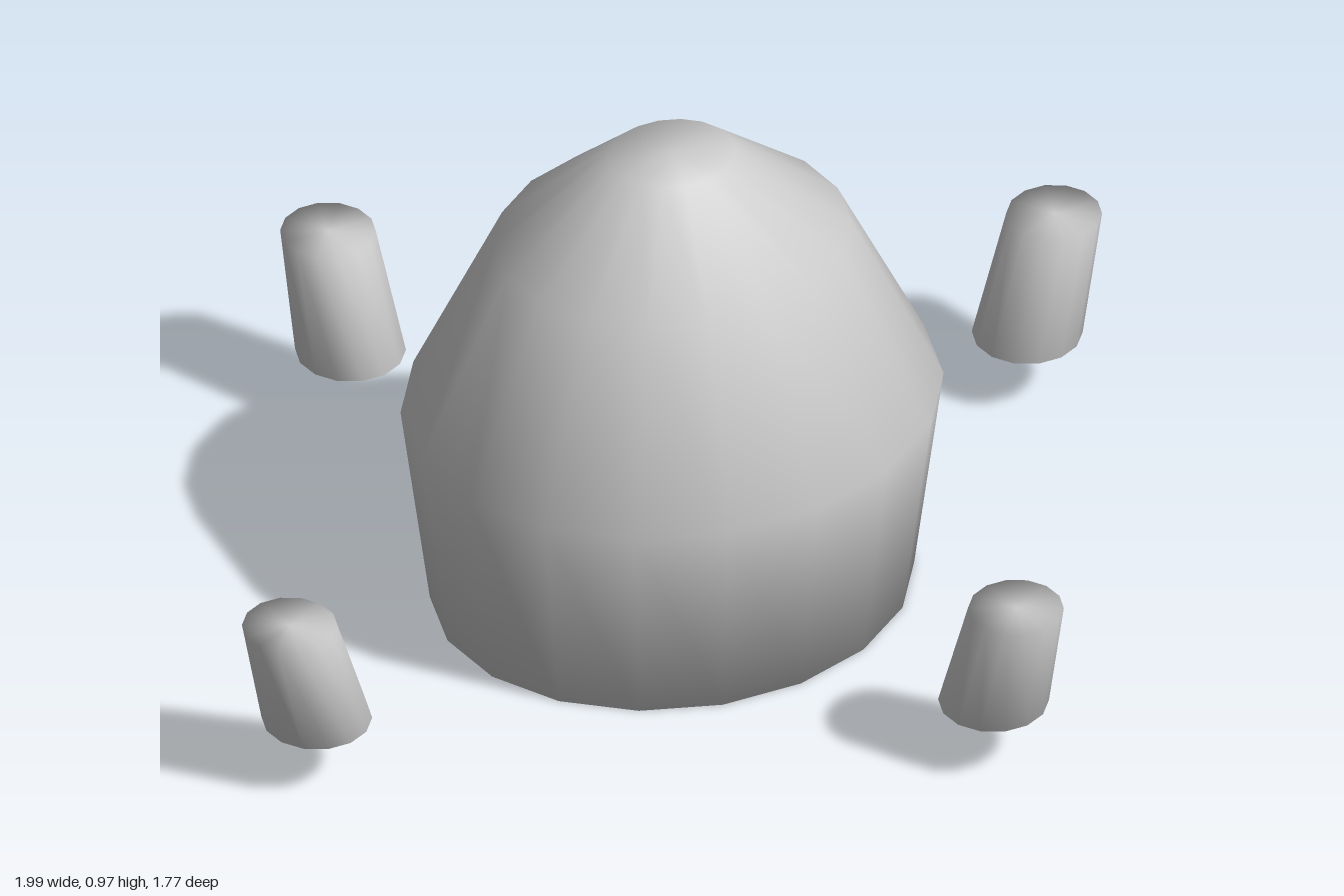
import * as THREE from 'three';
import { mergeVertices } from 'three/addons/utils/BufferGeometryUtils.js';

const material = new THREE.MeshStandardMaterial({ color: 0xcccccc });
const DEPTH = 0.88; // the whole layout is slightly flattened in z

// Closed turned solid from [radius, height] pairs, first vertex on +x
function turned(profile, sides) {
  const points = profile.map(([r, y]) => new THREE.Vector2(r, y));
  return new THREE.LatheGeometry(points, sides, Math.PI / 2);
}

// Weld the seam so that the shading is smooth all over
function smooth(geometry) {
  geometry.deleteAttribute('normal');
  geometry.deleteAttribute('uv');
  const welded = mergeVertices(geometry, 1e-4);
  welded.computeVertexNormals();
  return welded;
}

function addMesh(group, geometry, name) {
  const mesh = new THREE.Mesh(smooth(geometry), material);
  mesh.name = name;
  group.add(mesh);
}

export function createModel() {
  const model = new THREE.Group();
  model.name = 'domeWithPosts';

  // Central oval dome with flat top and base
  const dome = turned([[0, 0], [0.455, 0], [0.51, 0.425], [0.335, 0.79], [0.12, 0.97], [0, 0.97]], 18);
  dome.scale(1, 1, DEPTH);
  addMesh(model, dome, 'dome');

  // Four tapered posts around it, leaning outwards
  const bottomY = 0.125, topY = 0.365;
  const names = ['frontPost', 'leftPost', 'backPost', 'rightPost'];
  names.forEach((name, i) => {
    const post = turned([[0, bottomY], [0.102, bottomY], [0.088, topY], [0, topY]], 14);
    const p = post.attributes.position;
    const axis = new THREE.Vector3(0, 1, 0);
    const base = new THREE.Vector3(0.308, 0, 0.845).applyAxisAngle(axis, i * Math.PI / 2);
    const tip = new THREE.Vector3(0.328, 0, 0.908).applyAxisAngle(axis, i * Math.PI / 2);
    for (let k = 0; k < p.count; k++) {
      const t = (p.getY(k) - bottomY) / (topY - bottomY);
      const centre = base.clone().lerp(tip, t);
      p.setX(k, p.getX(k) + centre.x);
      p.setZ(k, p.getZ(k) + centre.z * DEPTH);
    }
    addMesh(model, post, name);
  });

  return model;
}
